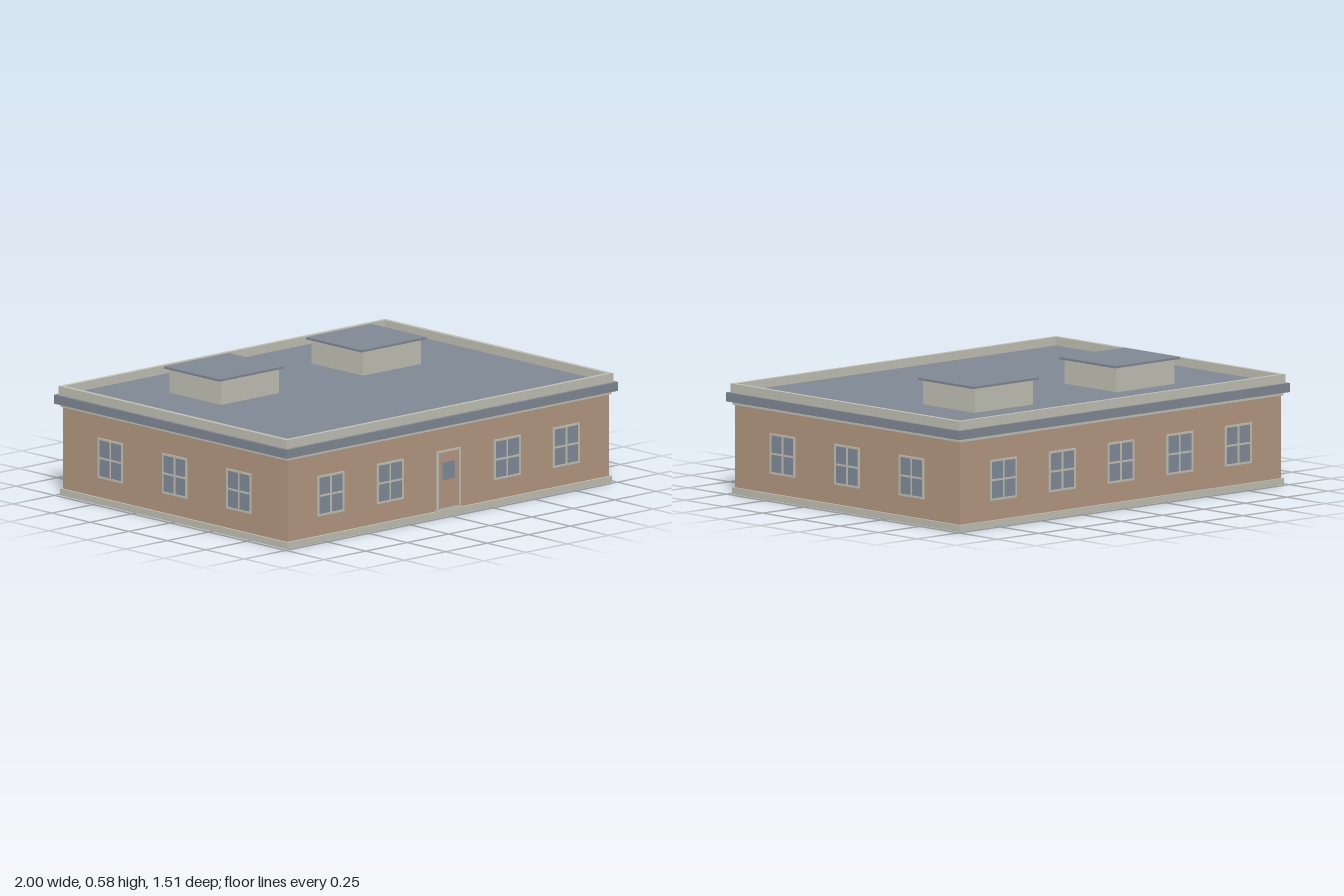
import * as THREE from 'three';

const mat = (name, color) => {
  const m = new THREE.MeshStandardMaterial({ color });
  m.name = name;
  return m;
};

export function createModel() {
  const wall = mat('tan wall', 0xb2967f);
  const trim = mat('cream trim', 0xc0bfb2);
  const slate = mat('slate roof', 0x7f8893);
  const glass = mat('blue grey glass', 0x7f8a98);
  const root = new THREE.Group();
  root.name = 'building';

  // Box given by its size, bottom height and centre
  const box = (name, m, w, h, d, y0, x = 0, z = 0, parent = root) => {
    const mesh = new THREE.Mesh(new THREE.BoxGeometry(w, h, d), m);
    mesh.name = name;
    mesh.position.set(x, y0 + h / 2, z);
    parent.add(mesh);
    return mesh;
  };

  // Rectangular ring in the xy plane, extruded along z
  const ring = (w, h, iw, ih, depth) => {
    const rect = (C, a, b) => new C([[-a, -b], [a, -b], [a, b], [-a, b]].map(([x, y]) => new THREE.Vector2(x / 2, y / 2)));
    const shape = rect(THREE.Shape, w, h);
    shape.holes.push(rect(THREE.Path, iw, ih));
    return new THREE.ExtrudeGeometry(shape, { depth, bevelEnabled: false });
  };

  // Stacked body
  box('plinth', trim, 1.96, 0.03, 1.475, 0);
  box('walls', wall, 1.94, 0.375, 1.455, 0.03);
  box('frieze', trim, 1.955, 0.015, 1.47, 0.4);
  box('cornice', slate, 2, 0.04, 1.51, 0.415);
  box('roofDeck', slate, 1.93, 0.004, 1.444, 0.453);

  // Parapet around the roof
  const parapet = new THREE.Mesh(ring(1.97, 1.48, 1.928, 1.442, 0.04), trim);
  parapet.name = 'parapet';
  parapet.rotation.x = -Math.PI / 2;
  parapet.position.y = 0.455;
  root.add(parapet);

  // Roof vents
  for (const s of [-1, 1]) {
    box('ventBody', trim, 0.35, 0.112, 0.336, 0.455, s * 0.428, -0.264);
    box('ventCap', slate, 0.392, 0.01, 0.36, 0.567, s * 0.428, -0.264);
  }

  // Window: pane, frame and crossing bars
  const frameGeo = ring(0.16, 0.182, 0.142, 0.164, 0.006);
  const addWindow = (face, x) => {
    const g = new THREE.Group();
    g.name = 'window';
    g.position.set(x, 0.209, 0);
    box('windowPane', glass, 0.145, 0.167, 0.003, -0.0835, 0, 0.0015, g);
    const frame = new THREE.Mesh(frameGeo, trim);
    frame.name = 'windowFrame';
    g.add(frame);
    box('verticalBar', trim, 0.009, 0.164, 0.005, -0.082, 0, 0.0025, g);
    box('horizontalBar', trim, 0.142, 0.009, 0.005, -0.0045, 0, 0.0025, g);
    face.add(g);
  };

  // One group per wall, with its local z pointing outwards
  const faces = [
    ['frontFace', 0, 0.7275, [-0.71, -0.353, 0.353, 0.71]],
    ['leftFace', Math.PI / 2, 0.97, [-0.417, 0, 0.417]],
    ['backFace', Math.PI, 0.7275, [-0.71, -0.355, 0, 0.355, 0.71]],
    ['rightFace', -Math.PI / 2, 0.97, [-0.417, 0, 0.417]],
  ];
  for (const [name, angle, dist, xs] of faces) {
    const face = new THREE.Group();
    face.name = name;
    face.rotation.y = angle;
    face.position.set(Math.sin(angle) * dist, 0, Math.cos(angle) * dist);
    xs.forEach((x) => addWindow(face, x));
    root.add(face);
  }

  // Front door with its frame and small pane
  const door = new THREE.Group();
  door.name = 'door';
  door.position.z = 0.7275;
  box('doorLeaf', wall, 0.126, 0.255, 0.003, 0.035, 0, 0.0015, door);
  box('doorPane', glass, 0.075, 0.08, 0.005, 0.166, 0, 0.0025, door);
  const doorFrame = new THREE.Mesh(ring(0.144, 0.27, 0.124, 0.252, 0.006), trim);
  doorFrame.name = 'doorFrame';
  doorFrame.position.y = 0.165;
  door.add(doorFrame);
  root.add(door);

  return root;
}
